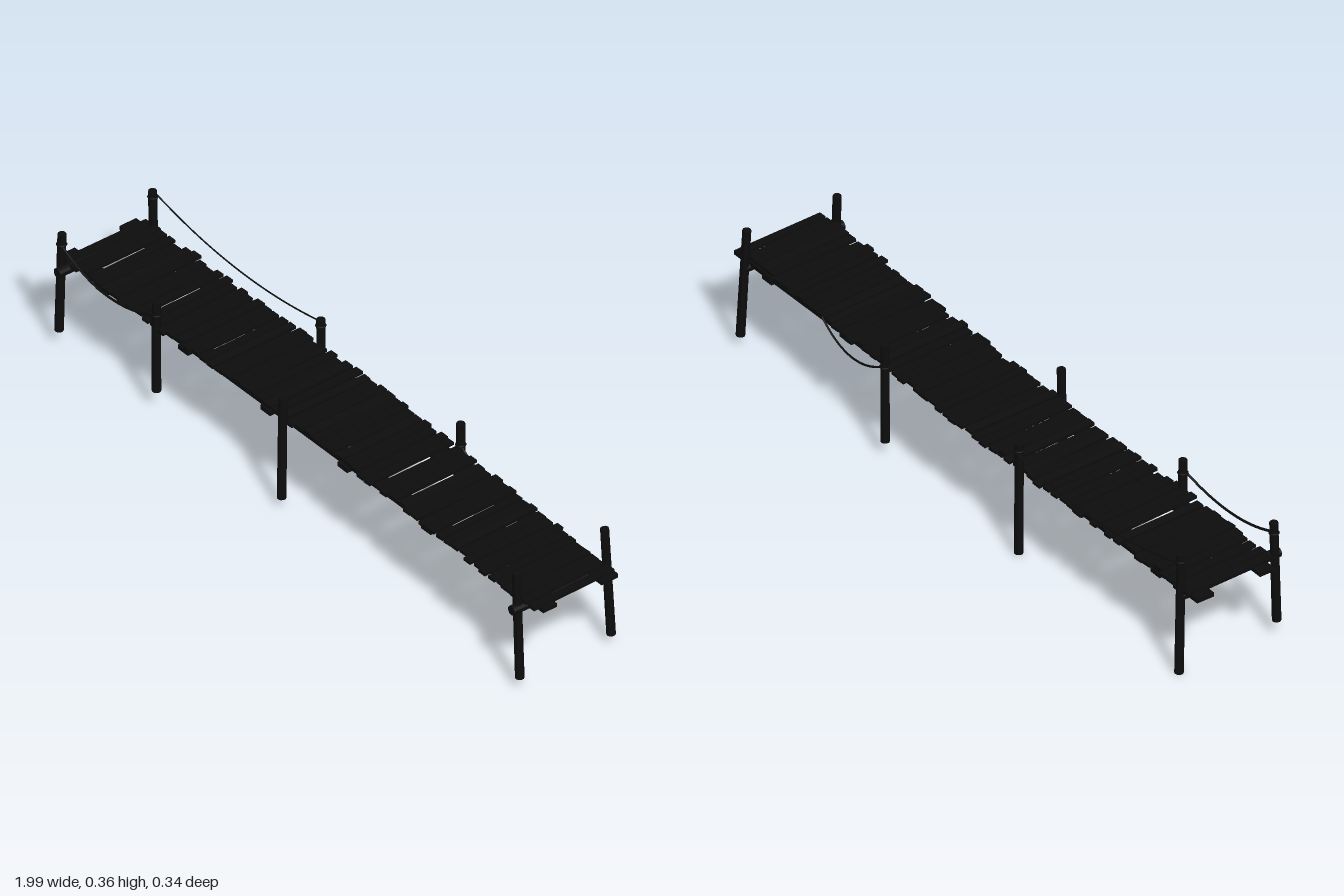
import * as THREE from 'three';

export function createModel() {
  const model = new THREE.Group();
  const wood = new THREE.MeshStandardMaterial({ color: 0x0d0d0d, flatShading: true });
  const ropeMat = new THREE.MeshStandardMaterial({ color: 0x0d0d0d });

  // seeded jitter in -1..1
  let seed = 11;
  const jitter = () => {
    seed = (seed * 16807) % 2147483647;
    return (seed / 2147483647) * 2 - 1;
  };
  const deckY = (x) => 0.259 + 0.006 * x + 0.005 * Math.cos(x * 1.6);

  const add = (name, geometry, material = wood) => {
    const mesh = new THREE.Mesh(geometry, material);
    mesh.name = name;
    model.add(mesh);
    return mesh;
  };

  // round timber between two points
  const log = (name, a, b, r0, r1 = r0, sides = 10) => {
    const from = new THREE.Vector3(...a), to = new THREE.Vector3(...b);
    const dir = to.clone().sub(from);
    const mesh = add(name, new THREE.CylinderGeometry(r1, r0, dir.length(), sides));
    mesh.position.copy(from).add(to).multiplyScalar(0.5);
    mesh.quaternion.setFromUnitVectors(new THREE.Vector3(0, 1, 0), dir.normalize());
  };

  // leaning posts: bottom point, top point
  [
    [[-0.954, 0.048, 0.152], [-0.952, 0.355, 0.144]],
    [[-0.577, 0.063, 0.132], [-0.575, 0.35, 0.134]],
    [[-0.048, 0.03, 0.142], [-0.05, 0.348, 0.136]],
    [[0.945, 0.032, 0.15], [0.926, 0.355, 0.146]],
    [[-0.943, 0.003, -0.155], [-0.94, 0.365, -0.146]],
    [[-0.257, 0.006, -0.157], [-0.257, 0.345, -0.155]],
    [[0.318, 0.042, -0.156], [0.318, 0.343, -0.157]],
    [[0.945, 0.032, -0.152], [0.928, 0.365, -0.144]],
  ].forEach(([a, b]) => log('post', a, b, 0.0125, 0.0118));

  // two stringers under the planks
  for (const [z, w] of [[-0.108, 0.055], [0.09, 0.045]]) {
    const beam = add('stringer', new THREE.BoxGeometry(1.99, 0.012, w, 12, 1, 1));
    const p = beam.geometry.attributes.position;
    for (let i = 0; i < p.count; i++) {
      p.setY(i, p.getY(i) + deckY(p.getX(i)) - 0.009);
    }
    beam.position.z = z;
    beam.geometry.computeVertexNormals();
  }

  // cross beams: at the ends tied to the posts, smaller ones between
  log('endCrossBeam', [-0.94, 0.246, 0.17], [-0.94, 0.238, -0.15], 0.014);
  log('endCrossBeam', [0.935, 0.25, 0.17], [0.935, 0.244, -0.15], 0.014);
  for (const x of [-0.82, -0.48, -0.14, 0.18, 0.52, 0.85]) {
    const joist = add('crossBeam', new THREE.BoxGeometry(0.04, 0.014, 0.26));
    joist.position.set(x, deckY(x) - 0.016, -0.008);
    joist.rotation.y = 0.02 * jitter();
  }

  // uneven deck planks
  const count = 60;
  for (let i = 0; i < count; i++) {
    const x = -0.955 + (1.93 * i) / (count - 1);
    const plank = add('plank', new THREE.BoxGeometry(
      0.0265 + 0.003 * jitter(), 0.009, 0.277 + 0.012 * jitter()));
    const drift = -0.011 - 0.006 * Math.cos(x * 3) + 0.01 * Math.max(0, x);
    plank.position.set(x + 0.003 * jitter(), deckY(x) + 0.002 + 0.002 * jitter(), drift + 0.005 * jitter());
    plank.rotation.set(-0.014 + 0.012 * jitter(), 0.022 * jitter() + (x < 0.2 ? 0.015 : 0.02), 0.05 * jitter());
  }

  // sagging ropes: start, lowest point, end
  const rope = (a, low, b, r) => {
    const [s, m, e] = [a, low, b].map((v) => new THREE.Vector3(...v));
    const mid = m.clone().multiplyScalar(2).addScaledVector(s, -0.5).addScaledVector(e, -0.5);
    add('rope', new THREE.TubeGeometry(new THREE.QuadraticBezierCurve3(s, mid, e), 32, r, 6), ropeMat);
  };
  rope([-0.94, 0.346, -0.16], [-0.6, 0.294, -0.164], [-0.257, 0.325, -0.168], 0.0022);
  rope([-0.95, 0.322, 0.148], [-0.76, 0.274, 0.153], [-0.575, 0.31, 0.142], 0.0035);
  rope([0.318, 0.275, -0.155], [0.465, 0.221, -0.152], [0.61, 0.265, -0.14], 0.003);

  // rope lashings where ropes meet posts
  for (const [x, y, z] of [
    [-0.94, 0.346, -0.147], [-0.257, 0.325, -0.155], [-0.952, 0.322, 0.145],
    [-0.575, 0.31, 0.134], [0.318, 0.275, -0.157],
  ]) {
    const tie = add('ropeLashing', new THREE.TorusGeometry(0.0125, 0.0025, 6, 16), ropeMat);
    tie.position.set(x, y, z);
    tie.rotation.x = Math.PI / 2;
  }
  return model;
}
